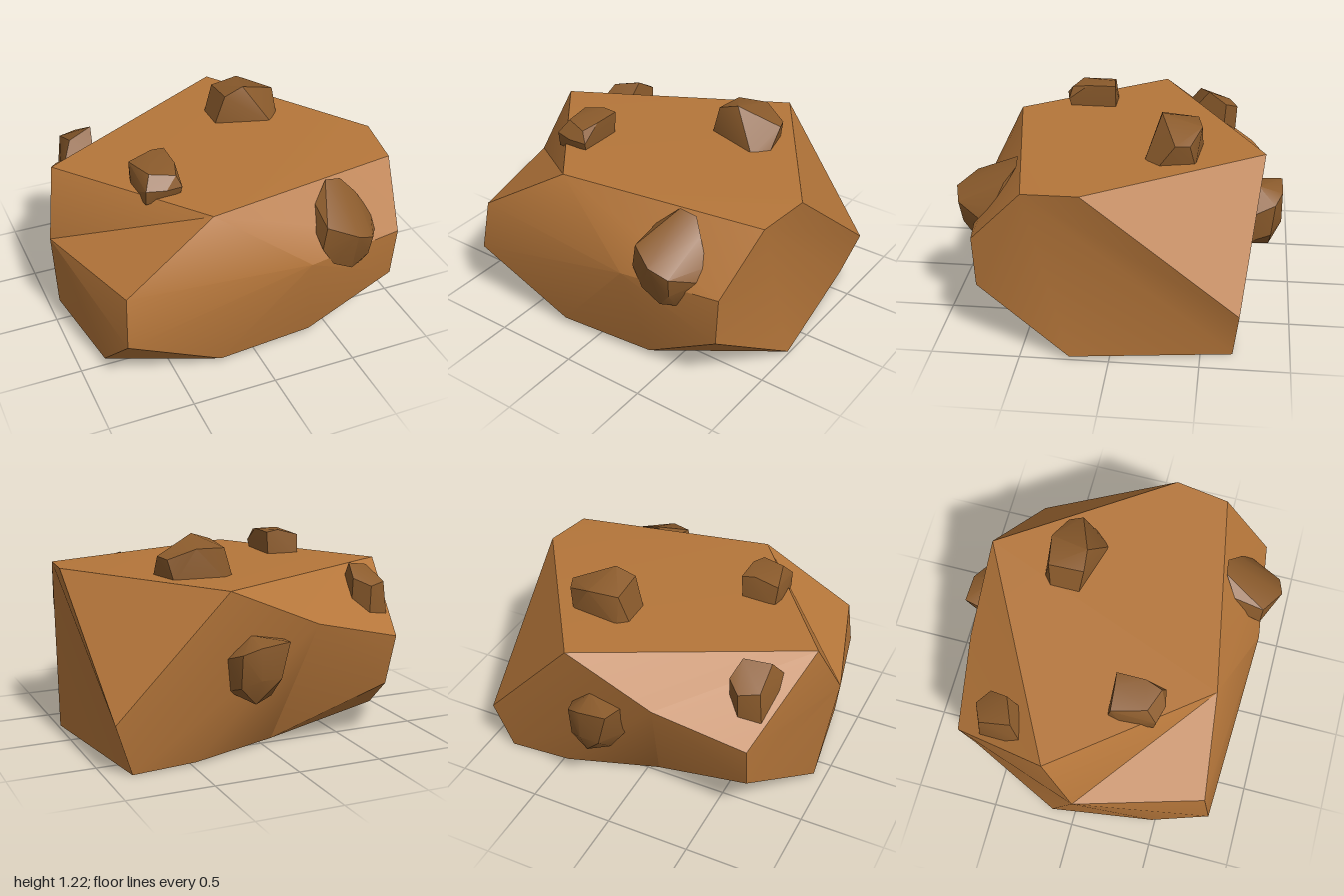
import * as THREE from 'three';
import { toCreasedNormals } from 'three/addons/utils/BufferGeometryUtils.js';
import { ConvexGeometry } from 'three/addons/geometries/ConvexGeometry.js';

const CREASE = 0.55;

export function createModel() {
  const rockBrown = new THREE.MeshStandardMaterial({ name: 'rockBrown', color: 0xb5763a });
  const darkBrown = new THREE.MeshStandardMaterial({ name: 'darkBrown', color: 0x8b5b2c });
  const model = new THREE.Group();
  model.name = 'boulder';

  const add = (name, geometry, material) => {
    const mesh = new THREE.Mesh(toCreasedNormals(geometry, CREASE), material);
    mesh.name = name;
    model.add(mesh);
  };

  // Main rock: corner points of the cut block
  const corners = [
    [-1, .62, .02], [-.91, .98, -.17], [-.25, 1, .68], [.95, .98, .47], [.99, 1, .15],       // 0-4 rim
    [.33, 1, -.82], [-.2, .77, -.82], [-.74, .63, -.75], [-.72, .33, -.68], [.95, .3, -.71], // 5-9 back
    [.85, 0, -.68], [.47, .01, -.66], [-.07, .02, -.49], [-.94, .03, -.14],                  // 10-13 base back
    [-.85, .03, .48], [-.23, .04, .75], [.36, .04, .7], [1, .02, .22],                       // 14-17 base front
    [.85, .36, .76], [.87, .66, .77], [.28, .64, .85], [-.79, .65, .76], [-.81, .36, .81],   // 18-22 front
  ];
  const facets = [
    [2, 3, 4, 5, 1],                   // top
    [1, 5, 6, 7], [1, 7, 0],           // sloping back of the top
    [0, 21, 2], [0, 2, 1],             // upper right shoulder
    [0, 7, 8, 13, 14, 22, 21],         // right side
    [20, 2, 21, 22, 15, 16, 18, 19],   // front
    [2, 20, 19, 3],                    // upper front slope
    [22, 14, 15], [18, 16, 17],        // lower front corner cuts
    [3, 19, 18, 17, 10, 9, 4],         // left side
    [4, 9, 5],                         // back left corner cut
    [6, 5, 9, 10, 11, 12, 8, 7],       // back
    [8, 12, 13],                       // lower back corner cut
    [10, 17, 16, 15, 14, 13, 12, 11],  // base
  ];
  const positions = [];
  for (const f of facets) {
    for (let i = 1; i < f.length - 1; i++) {
      positions.push(...corners[f[0]], ...corners[f[i]], ...corners[f[i + 1]]);
    }
  }
  const rock = new THREE.BufferGeometry();
  rock.setAttribute('position', new THREE.Float32BufferAttribute(positions, 3));
  rock.computeVertexNormals();
  add('mainRock', rock, rockBrown);

  // Small stones half sunk into the surface
  const stones = {
    topLeftStone: [
      [.14, .98, -.24], [.14, .98, -.41], [.2, .98, -.46], [.5, .98, -.43], [.55, .98, -.22], [.48, .98, -.14],
      [.2, 1.18, -.22], [.2, 1.16, -.43], [.32, 1.22, -.23], [.38, 1.17, -.46], [.53, 1.11, -.4], [.56, 1.12, -.32],
    ],
    topFrontStone: [
      [-.55, .95, .2], [-.53, .96, .38], [-.33, .97, .38], [-.33, .97, .11], [-.53, .96, .11],
      [-.54, 1.1, .13], [-.49, 1.12, .33], [-.4, 1.14, .12], [-.32, 1.13, .11], [-.32, 1.13, .28],
      [-.35, 1.11, .38], [-.53, 1.05, .39], [-.42, 1.05, .42], [-.32, 1.04, .4],
    ],
    topBackStone: [
      [-.58, 1.02, -.46], [-.73, .99, -.4], [-.74, .92, -.59], [-.63, .91, -.64], [-.55, .95, -.57],
      [-.78, .9, -.34], [-.79, .84, -.42], [-.6, .88, -.35], [-.55, .82, -.56], [-.63, .74, -.63], [-.76, .72, -.6],
    ],
    backStone: [
      [.03, .72, -.93], [.2, .7, -.93], [.08, .52, -.93], [.2, .52, -.93], [.29, .66, -.89], [.29, .47, -.87],
      [0, .7, -.78], [.2, .74, -.79], [.33, .62, -.78], [.31, .42, -.72], [.2, .37, -.86], [.08, .39, -.8],
      [.01, .48, -.74],
    ],
    frontStone: [
      [.34, .78, .75], [.38, .9, .65], [.48, .99, .57], [.58, .97, .56], [.65, .9, .62], [.73, .77, .68],
      [.73, .7, .74], [.68, .63, .78], [.62, .54, .8], [.54, .54, .84], [.42, .6, .84], [.35, .71, .83],
      [.37, .85, .83], [.52, .81, .92], [.63, .76, .89], [.62, .64, .87],
    ],
  };
  for (const [name, points] of Object.entries(stones)) {
    add(name, new ConvexGeometry(points.map((p) => new THREE.Vector3(...p))), darkBrown);
  }
  return model;
}
